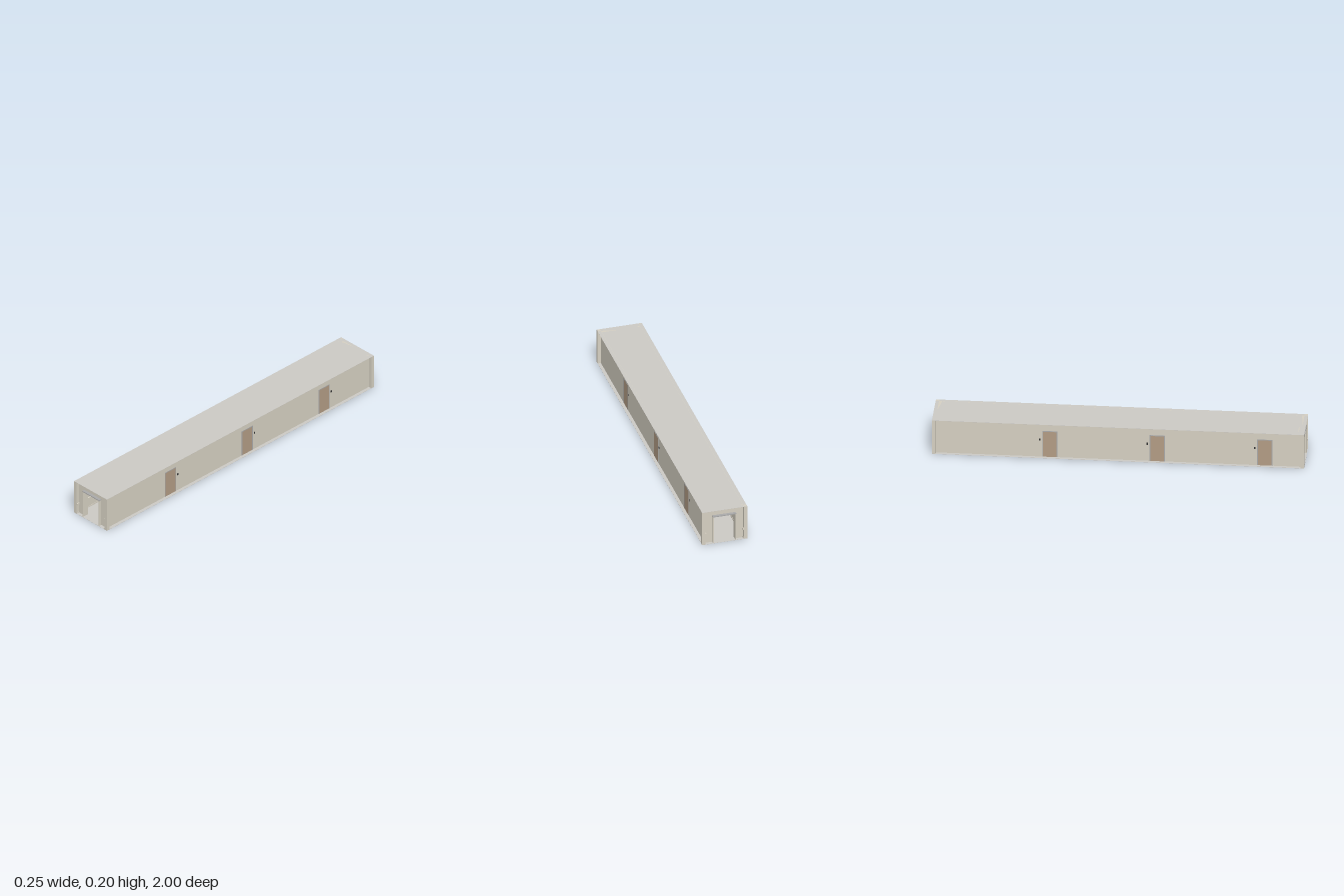
import * as THREE from 'three';

const paint = (color) => new THREE.MeshStandardMaterial({ color });
const wallMat = paint(0xd6d0c2);
const slabMat = paint(0xcccac5);
const doorMat = paint(0xb29c84);
const trimMat = paint(0xaaaaaa);
const darkMat = paint(0x333333);

const HALF = 0.126, WALL = 0.108, HEIGHT = 0.2;

// Box given by its extents along each axis
function block(parent, name, mat, [x0, x1], [y0, y1], [z0, z1]) {
  const mesh = new THREE.Mesh(
    new THREE.BoxGeometry(Math.abs(x1 - x0), Math.abs(y1 - y0), Math.abs(z1 - z0)), mat);
  mesh.position.set((x0 + x1) / 2, (y0 + y1) / 2, (z0 + z1) / 2);
  mesh.name = name;
  parent.add(mesh);
  return mesh;
}

// One long side: thin wall, skirting, handrail and doors
function sideWall(side, doors) {
  const g = new THREE.Group();
  g.name = side > 0 ? 'leftWall' : 'rightWall';
  const across = (a, b) => [side * a, side * b];
  const w = 0.036, top = 0.15, frame = 0.005;

  block(g, 'wallPanel', wallMat, across(WALL - 0.001, WALL), [0, HEIGHT], [-1, 1]);

  // Skirting and handrail run between the doors
  const stops = [-1, ...doors.flatMap((z) => [z - w - frame, z + w + frame]), 1];
  for (let i = 0; i < stops.length; i += 2) {
    const gap = 0.02;
    const a = stops[i] + (i ? gap : 0);
    const b = stops[i + 1] - (i + 2 < stops.length ? gap : 0);
    block(g, 'skirting', wallMat, across(WALL - 0.003, WALL), [0.001, 0.008], [stops[i], stops[i + 1]]);
    block(g, 'handrail', wallMat, across(0.101, WALL), [0.056, 0.065], [a, b]);
  }

  // Doors show on both faces of the wall
  for (const z of doors) {
    const depth = across(WALL - 0.003, WALL + 0.001);
    block(g, 'door', doorMat, across(WALL - 0.002, WALL + 0.0006), [0.001, top], [z - w, z + w]);
    block(g, 'doorFrameTop', trimMat, depth, [top, top + frame], [z - w - frame, z + w + frame]);
    for (const s of [-1, 1]) {
      const edge = z + s * w;
      block(g, 'doorFrameSide', trimMat, depth, [0.001, top], [edge, edge + s * frame]);
    }
    block(g, 'doorHandle', trimMat, across(WALL - 0.006, WALL - 0.002), [0.07, 0.074], [z + 0.02, z + 0.03]);
    block(g, 'doorSign', darkMat, depth, [0.097, 0.109], [z - w - 0.022, z - w - 0.014]);
  }
  return g;
}

// Doorway at one end of the corridor
function endPortal(dir) {
  const g = new THREE.Group();
  g.name = dir > 0 ? 'frontPortal' : 'backPortal';
  const along = (a, b) => [dir * a, dir * b];
  const open = 0.06, lintel = 0.16;

  for (const s of [-1, 1]) {
    block(g, 'cornerPost', wallMat, [s * WALL, s * HALF], [0, HEIGHT], along(0.98, 1));
    block(g, 'endWall', wallMat, [s * open, s * WALL], [0, HEIGHT], along(0.965, 0.982));
    block(g, 'openingCasing', wallMat, [s * open, s * (open + 0.004)], [0, lintel], along(0.96, 0.998));
  }
  block(g, 'header', wallMat, [-open, open], [lintel, HEIGHT], along(0.965, 0.982));
  block(g, 'openingTrim', trimMat, [-0.065, 0.065], [lintel, lintel + 0.005], along(0.96, 0.998));
  return g;
}

// Low bench standing against a wall
function bench(z) {
  const g = new THREE.Group();
  g.name = 'bench';
  block(g, 'benchSeat', trimMat, [-0.1, -0.055], [0.036, 0.046], [z - 0.06, z + 0.06]);
  for (const x of [-0.097, -0.061])
    for (const s of [-1, 1])
      block(g, 'benchLeg', darkMat, [x, x + 0.003], [0.001, 0.036], [z + s * 0.05, z + s * 0.053]);
  return g;
}

export function createModel() {
  const model = new THREE.Group();
  model.name = 'corridor';
  block(model, 'floor', slabMat, [-HALF, HALF], [0, 0.001], [-1, 1]);
  block(model, 'ceiling', slabMat, [-HALF, HALF], [HEIGHT - 0.001, HEIGHT], [-1, 1]);
  model.add(
    sideWall(1, [-0.643, -0.068, 0.507]),
    sideWall(-1, [-0.367, 0.21, 0.788]),
    endPortal(1),
    endPortal(-1),
    bench(-0.1));
  return model;
}
